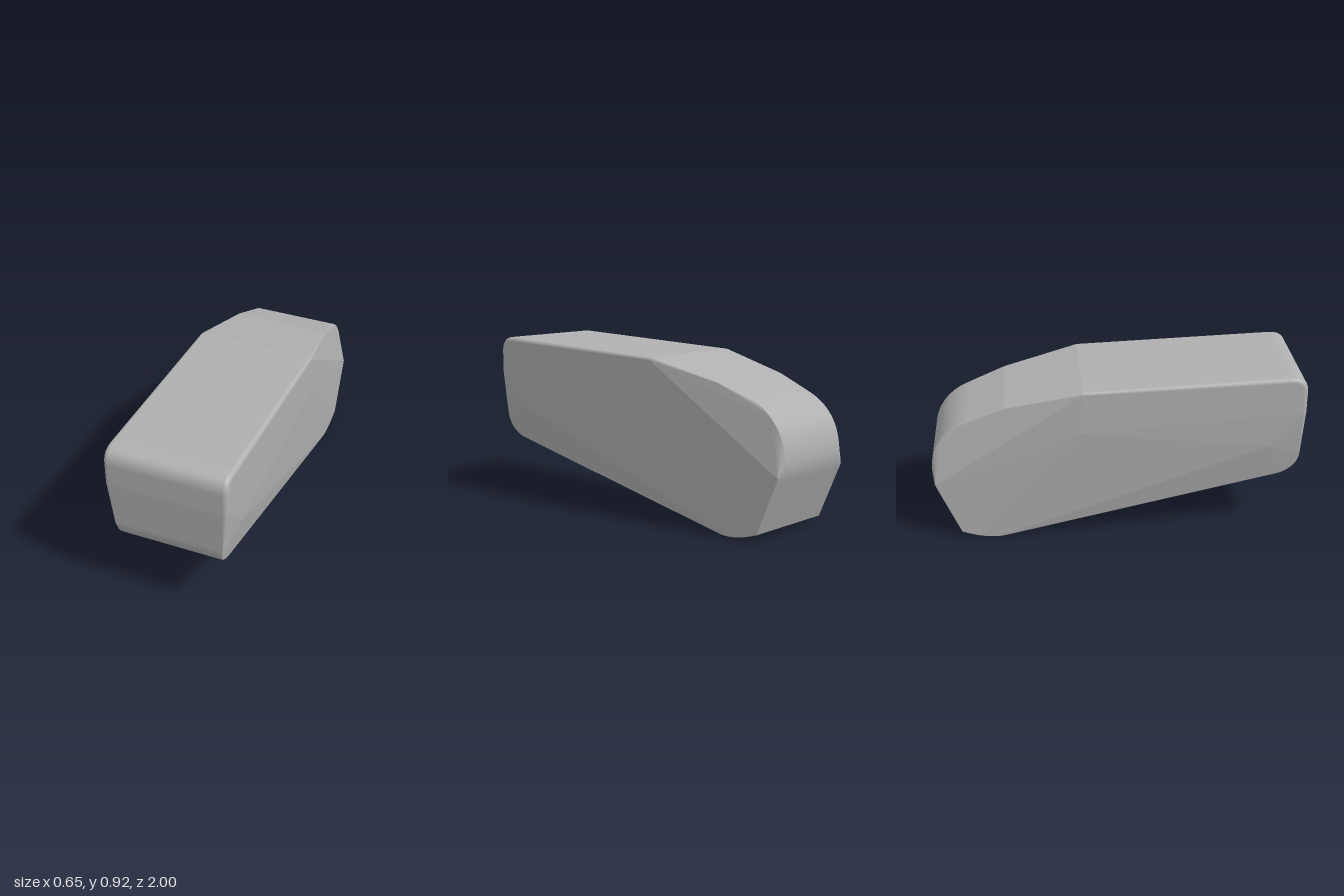
import * as THREE from 'three';
import { ConvexGeometry } from 'three/addons/geometries/ConvexGeometry.js';

const { lerp, smoothstep, mapLinear, clamp } = THREE.MathUtils;

// Side outline, drawn as (z, y)
function sideProfile() {
  const s = new THREE.Shape();
  s.moveTo(-0.19, 0.885);
  s.lineTo(0.91, 0.926);
  s.quadraticCurveTo(1, 0.926, 1, 0.84);
  s.lineTo(1, 0.72);
  s.lineTo(0.985, 0.47);
  s.quadraticCurveTo(0.98, 0.36, 0.87, 0.333);
  s.lineTo(-0.6, 0.012);
  s.quadraticCurveTo(-0.7, -0.019, -0.86, 0.04);
  s.lineTo(-0.97, 0.3);
  s.quadraticCurveTo(-1, 0.36, -1, 0.42);
  s.bezierCurveTo(-1, 0.56, -0.92, 0.66, -0.8, 0.71);
  s.lineTo(-0.6, 0.785);
  s.closePath();
  const pts = s.getPoints(16);
  return pts.filter((p, i) => p.distanceTo(pts[(i + 1) % pts.length]) > 1e-4);
}

// Half width of the rim: full at the front top, narrower below and at the rear
function halfWidth(z, y) {
  if (z > 0.86) return lerp(0.278, 0.327, clamp(mapLinear(y, 0.36, 0.65, 0, 1), 0, 1));
  if (z < -0.8 && y < 0.31) return lerp(0.277, 0.24, clamp((y - 0.04) / 0.26, 0, 1));
  if (y < 0.35) return 0.278;
  return lerp(0.24, 0.327, clamp((z + 0.8) / 0.61, 0, 1));
}

// Edge rounding: generous around the front top, crisp elsewhere
function edgeRadius(z, y) {
  return lerp(0.005, 0.026, smoothstep(y, 0.45, 0.75) * smoothstep(z, -0.4, 0));
}

export function createModel() {
  const group = new THREE.Group();
  const grey = new THREE.MeshStandardMaterial({ color: 0xb0b0b0 });
  grey.name = 'grey';

  const profile = sideProfile();
  const points = [];
  const addPair = (x, y, z) => {
    points.push(new THREE.Vector3(x, y, z), new THREE.Vector3(-x, y, z));
  };

  // Rounded rim on both sides
  const n = profile.length;
  const steps = 8;
  profile.forEach((p, i) => {
    const t = profile[(i + 1) % n].clone().sub(p).normalize()
      .add(p.clone().sub(profile[(i + n - 1) % n]).normalize()).normalize();
    const w = halfWidth(p.x, p.y);
    const r = edgeRadius(p.x, p.y);
    for (let k = 0; k <= steps; k++) {
      const a = (k / steps) * Math.PI / 2;
      const inset = r * (1 - Math.cos(a));
      addPair(w - r * (1 - Math.sin(a)), p.y - t.x * -inset * -1, p.x + t.y * inset);
    }
  });

  // Slight fullness of the side panels
  addPair(0.321, 0.53, 0.8);
  addPair(0.327, 0.65, -0.2);

  const body = new THREE.Mesh(new ConvexGeometry(points), grey);
  body.name = 'body';
  group.add(body);
  return group;
}
